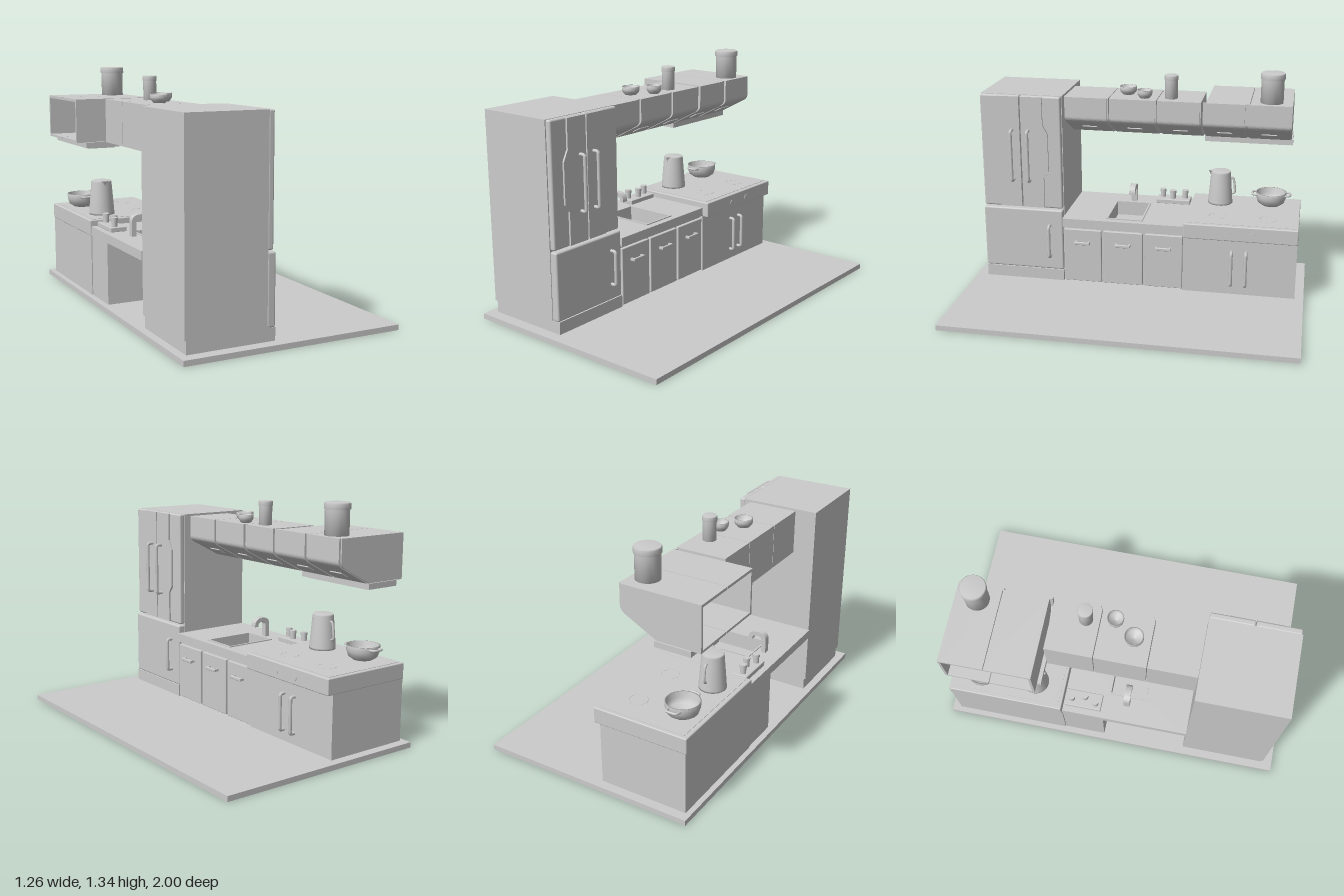
import * as THREE from 'three';
import { RoundedBoxGeometry } from 'three/addons/geometries/RoundedBoxGeometry.js';

const grey = new THREE.MeshStandardMaterial({ color: 0xcccccc });
const greyTwoSided = new THREE.MeshStandardMaterial({ color: 0xcccccc, side: THREE.DoubleSide });
const v2 = (x, y) => new THREE.Vector2(x, y);
const v3 = (x, y, z) => new THREE.Vector3(x, y, z);

export function createModel() {
  const model = new THREE.Group();
  model.name = 'kitchen';

  const add = (name, geometry, x = 0, y = 0, z = 0, material = grey) => {
    const mesh = new THREE.Mesh(geometry, material);
    mesh.name = name;
    mesh.position.set(x, y, z);
    model.add(mesh);
    return mesh;
  };
  // Box given by its limits; r rounds its edges
  const box = (name, x0, x1, y0, y1, z0, z1, r = 0) => {
    const s = [x1 - x0, y1 - y0, z1 - z0];
    const geometry = r ? new RoundedBoxGeometry(...s, 2, r) : new THREE.BoxGeometry(...s);
    return add(name, geometry, (x0 + x1) / 2, (y0 + y1) / 2, (z0 + z1) / 2);
  };
  const cylinder = (name, r, h, x, y, z, sides = 20) =>
    add(name, new THREE.CylinderGeometry(r, r, h, sides), x, y + h / 2, z);
  const lathe = (name, points, x, y, z) =>
    add(name, new THREE.LatheGeometry(points.map(p => v2(...p)), 32), x, y, z, greyTwoSided);
  // Side profile in x and y, swept from z0 to z1
  const sweep = (name, shape, z0, z1) =>
    add(name, new THREE.ExtrudeGeometry(shape, { depth: z1 - z0, bevelEnabled: false, curveSegments: 8 }), 0, 0, z0);
  const tube = (name, points, r, tension = 0.15) => add(name, new THREE.TubeGeometry(
    new THREE.CatmullRomCurve3(points, false, 'catmullrom', tension), 40, r, 8));
  // U-shaped pull standing out from a door face at x
  const pull = (x, out, y0, y1, z0, z1, r) => {
    const a = v3(x, y0, z0), b = v3(x, y1, z1), o = v3(out, 0, 0);
    const step = b.clone().sub(a).setLength(0.012);
    tube('handle', [a, a.clone().add(o).sub(v3(0.01, 0, 0)), a.clone().add(o).add(step),
      b.clone().add(o).sub(step), b.clone().add(o).sub(v3(0.01, 0, 0)), b], r);
  };

  // Floor slab, slightly hollow underneath
  box('floor', -0.62, 0.63, 0.014, 0.03, -1, 1);
  for (const [x0, x1, z0, z1] of [[-0.62, -0.612, -1, 1], [0.622, 0.63, -1, 1],
    [-0.612, 0.622, -1, -0.992], [-0.612, 0.622, 0.992, 1]]) box('floorRim', x0, x1, 0, 0.014, z0, z1);

  // Refrigerator
  box('fridgePlinth', -0.575, -0.085, 0.01, 0.1, 0.45, 0.935);
  box('fridgeBody', -0.585, -0.133, 0.1, 1.175, 0.45, 0.94);
  box('fridgeLowerDoor', -0.135, -0.087, 0.1, 0.482, 0.45, 0.94, 0.01);
  for (const [z0, z1] of [[0.452, 0.694], [0.697, 0.938]])
    box('fridgeUpperDoor', -0.135, -0.1, 0.49, 1.175, z0, z1, 0.01);
  for (const side of [-1, 1]) {
    const panel = new THREE.Shape([v2(0.004, 0.495), v2(0.135, 0.495), v2(0.135, 0.68), v2(0.165, 0.72),
      v2(0.165, 0.95), v2(0.135, 1.01), v2(0.135, 1.172), v2(0.004, 1.172)].map(p => v2(p.x * side, p.y)));
    const mesh = add('fridgeDoorPanel',
      new THREE.ExtrudeGeometry(panel, { depth: 0.012, bevelEnabled: false }), -0.101, 0, 0.695);
    mesh.rotation.y = Math.PI / 2;
    pull(-0.092, 0.038, 0.665, 0.97, 0.695 + side * 0.05, 0.695 + side * 0.05, 0.01);
  }
  pull(-0.09, 0.036, 0.19, 0.385, 0.53, 0.53, 0.01);

  // Base cabinets: one closed unit, then two with open backs under the sink
  box('baseCabinet', -0.585, -0.105, 0.03, 0.39, -0.28, -0.04);
  box('cabinetFrontFrame', -0.125, -0.105, 0.03, 0.39, -0.04, 0.45);
  for (const [z0, z1] of [[-0.278, -0.052], [-0.038, 0.2], [0.214, 0.442]]) {
    box('cabinetDoor', -0.108, -0.085, 0.036, 0.37, z0, z1, 0.004);
    const c = (z0 + z1) / 2;
    box('cabinetHandle', -0.068, -0.055, 0.282, 0.3, c - 0.047, c + 0.047, 0.004);
    for (const s of [-1, 1]) box('handlePost', -0.086, -0.06, 0.284, 0.298, c + s * 0.04 - 0.006, c + s * 0.04 + 0.006);
  }
  const outline = new THREE.Shape([v2(-0.59, -0.45), v2(-0.08, -0.45), v2(-0.08, 0.28), v2(-0.59, 0.28)]);
  outline.holes.push(new THREE.Path([v2(-0.43, -0.18), v2(-0.43, 0.02), v2(-0.13, 0.02), v2(-0.13, -0.18)]));
  add('countertop', new THREE.ExtrudeGeometry(outline, { depth: 0.05, bevelEnabled: false }), 0, 0.387, 0)
    .rotation.x = -Math.PI / 2;

  // Sink with raised rim
  box('sinkBottom', -0.43, -0.13, 0.345, 0.355, -0.02, 0.18);
  for (const [x0, x1, z0, z1] of [[-0.44, -0.43, -0.03, 0.19], [-0.13, -0.12, -0.03, 0.19],
    [-0.43, -0.13, -0.03, -0.02], [-0.43, -0.13, 0.18, 0.19]]) {
    box('sinkWall', x0, x1, 0.345, 0.443, z0, z1);
  }
  // Faucet: a flat band bent into an arch
  const arch = new THREE.Shape().moveTo(-0.495, 0.435).lineTo(-0.495, 0.515);
  arch.quadraticCurveTo(-0.495, 0.558, -0.44, 0.558).quadraticCurveTo(-0.385, 0.558, -0.385, 0.505);
  arch.lineTo(-0.41, 0.505).quadraticCurveTo(-0.41, 0.533, -0.44, 0.533);
  arch.quadraticCurveTo(-0.468, 0.533, -0.468, 0.51).lineTo(-0.468, 0.435);
  sweep('faucet', arch, 0.064, 0.1);

  // Spice tray
  box('spiceTray', -0.555, -0.46, 0.435, 0.463, -0.27, -0.06, 0.004);
  for (const [x, z] of [[-0.515, -0.235], [-0.495, -0.16], [-0.52, -0.095]]) {
    cylinder('spiceJar', 0.017, 0.035, x, 0.463, z);
    cylinder('spiceLid', 0.02, 0.018, x, 0.497, z);
  }

  // Stove
  box('stoveBody', -0.59, -0.08, 0.004, 0.39, -0.948, -0.282);
  box('stoveTop', -0.595, -0.043, 0.38, 0.471, -0.95, -0.285, 0.006);
  box('cooktop', -0.57, -0.07, 0.46, 0.473, -0.93, -0.305);
  for (const z of [-0.57, -0.655]) pull(-0.082, 0.031, 0.095, 0.3, z, z, 0.01);
  for (const z of [-0.54, -0.69])
    cylinder('stoveKnob', 0.018, 0.006, -0.043, 0.417, z).rotation.z = Math.PI / 2;
  for (const x of [-0.2, -0.46]) for (const z of [-0.47, -0.77])
    add('burnerRing', new THREE.TorusGeometry(0.05, 0.001, 4, 32), x, 0.473, z).rotation.x = Math.PI / 2;

  // Kettle
  lathe('kettle', [[0, 0], [0.075, 0], [0.075, 0.012], [0.06, 0.195], [0.055, 0.203], [0, 0.203]], -0.455, 0.472, -0.46);
  const spout = add('kettleSpout', new THREE.ConeGeometry(0.022, 0.05, 4), -0.455, 0.65, -0.408);
  spout.rotation.x = Math.PI;
  tube('kettleHandle', [v3(-0.455, 0.635, -0.515), v3(-0.455, 0.635, -0.533), v3(-0.455, 0.61, -0.542),
    v3(-0.455, 0.545, -0.548), v3(-0.455, 0.53, -0.525)], 0.007, 0.4);

  // Cooking pot with side handles
  lathe('pot', [[0, 0], [0.055, 0], [0.08, 0.018], [0.091, 0.05], [0.092, 0.08], [0.086, 0.08],
    [0.084, 0.05], [0.07, 0.024], [0, 0.012]], -0.465, 0.474, -0.77);
  for (const s of [-1, 1]) tube('potHandle', [v3(-0.5, 0.54, -0.77 + s * 0.08), v3(-0.49, 0.542, -0.77 + s * 0.111),
    v3(-0.44, 0.542, -0.77 + s * 0.111), v3(-0.43, 0.54, -0.77 + s * 0.08)], 0.007, 0.5);

  // Wall cabinets: vertical front curving into a long sloping lower face
  const front = (shape, d) => {
    shape.lineTo(-0.17 - d, 1.045);
    shape.quadraticCurveTo(-0.17 - d, 1.02, -0.2 - d, 1.004);
    return shape.lineTo(-0.375 - d, 0.912);
  };
  const profile = back => front(new THREE.Shape().moveTo(back, 1.163).lineTo(-0.182, 1.163), 0.012).lineTo(back, 0.912);
  // The deep cabinets over the stove are open at the back
  const shell = front(new THREE.Shape().moveTo(-0.63, 1.163).lineTo(-0.182, 1.163), 0.012);
  shell.lineTo(-0.63, 0.912).lineTo(-0.63, 0.925).lineTo(-0.39, 0.925).lineTo(-0.22, 1.015)
    .lineTo(-0.197, 1.05).lineTo(-0.197, 1.148).lineTo(-0.63, 1.148);
  const doorShape = front(new THREE.Shape().moveTo(-0.185, 1.163).lineTo(-0.17, 1.163), 0);
  doorShape.lineTo(-0.395, 0.912).lineTo(-0.215, 1.006).lineTo(-0.185, 1.05);
  const edges = [-0.878, -0.62, -0.36, -0.1, 0.182, 0.45];
  for (let i = 0; i < 5; i++) {
    const z0 = edges[i] + 0.002, z1 = edges[i + 1] - 0.002;
    if (i > 1) sweep('wallCabinet', profile(-0.46), z0, z1);
    sweep('wallCabinetDoor', doorShape, z0 + 0.008, z1 - 0.008);
    const grip = add('wallCabinetGrip', new RoundedBoxGeometry(0.055, 0.012, 0.09, 2, 0.004),
      -0.288, 0.957, (z0 + z1) / 2);
    grip.rotation.z = Math.atan2(0.092, 0.175);
  }
  for (const [z0, z1] of [[-0.862, -0.638], [-0.634, -0.4]]) sweep('deepCabinetShell', shell, z0, z1);
  for (const [z0, z1] of [[-0.876, -0.862], [-0.4, -0.386]]) sweep('deepCabinetSide', profile(-0.63), z0, z1);

  // Extractor hood
  box('hood', -0.58, -0.375, 0.882, 0.914, -0.885, -0.365);
  box('hoodFilter', -0.56, -0.395, 0.875, 0.885, -0.86, -0.39);

  // Canisters and bowls on top of the wall cabinets
  const canister = (r, h, x, z) => lathe('canister', [[0, 0], [r * 0.93, 0], [r * 0.93, h * 0.78], [r, h * 0.8],
    [r, h * 0.96], [r * 0.93, h], [0, h]], x, 1.163, z);
  canister(0.07, 0.172, -0.26, -0.755);
  canister(0.04, 0.137, -0.26, -0.175);
  for (const [r, x, z] of [[0.051, -0.32, 0.09], [0.044, -0.24, -0.022]])
    lathe('bowl', [[0, 0], [r * 0.65, 0], [r * 0.95, 0.018], [r, 0.03], [r, 0.047], [r * 0.9, 0.047],
      [r * 0.8, 0.022], [0, 0.01]], x, 1.163, z);

  return model;
}
